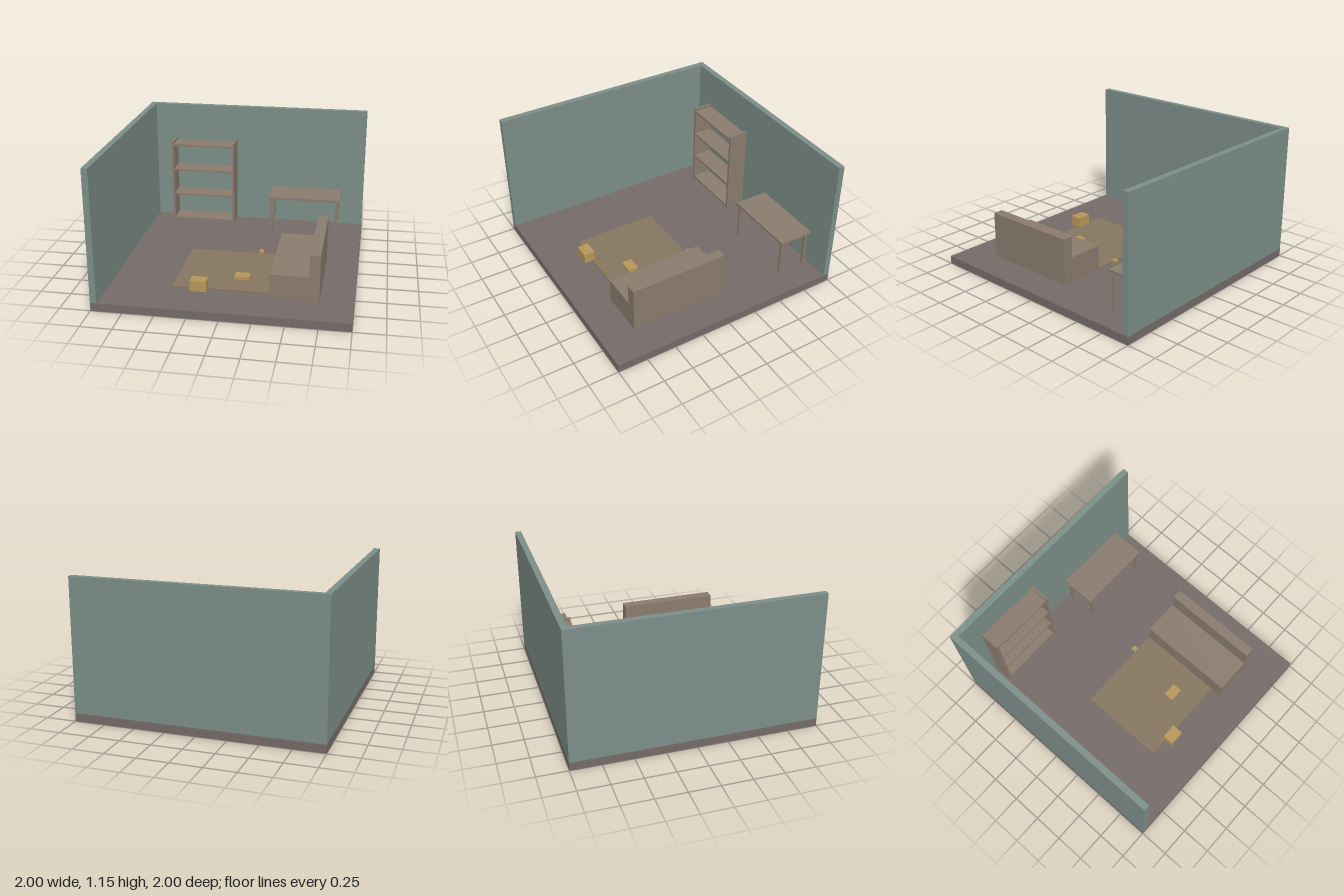
import * as THREE from 'three';

const mat = (color) => new THREE.MeshStandardMaterial({ color });

// Adds a box given by its extents along x, y and z
function box(parent, name, material, [x0, x1], [y0, y1], [z0, z1]) {
  const mesh = new THREE.Mesh(new THREE.BoxGeometry(x1 - x0, y1 - y0, z1 - z0), material);
  mesh.position.set((x0 + x1) / 2, (y0 + y1) / 2, (z0 + z1) / 2);
  mesh.name = name;
  parent.add(mesh);
  return mesh;
}

function group(parent, name) {
  const g = new THREE.Group();
  g.name = name;
  parent.add(g);
  return g;
}

export function createModel() {
  const room = new THREE.Group();
  room.name = 'room';
  const wallMat = mat(0x7d8e89);
  const floorMat = mat(0x756b68);
  const woodMat = mat(0x8a7b6e);
  const rugMat = mat(0x85765f);
  const boxMat = mat(0xb8965a);
  const FLOOR = 0.068;
  const RUG = 0.078;

  // Floor slab and two walls
  box(room, 'floor', floorMat, [-1, 1], [0, FLOOR], [-1, 1]);
  box(room, 'backWall', wallMat, [-1, 1], [FLOOR, 1.155], [-1, -0.95]);
  box(room, 'sideWall', wallMat, [-1, -0.95], [FLOOR, 1.155], [-0.95, 1]);

  // Open bookshelf against the back wall
  const shelf = group(room, 'bookshelf');
  const depth = [-0.95, -0.78];
  box(shelf, 'rightPanel', woodMat, [-0.775, -0.753], [FLOOR, 0.843], depth);
  box(shelf, 'leftPanel', woodMat, [-0.208, -0.187], [FLOOR, 0.843], depth);
  for (let i = 0; i < 4; i++) {
    const y = 0.08 + i * 0.24;
    box(shelf, 'shelfBoard', woodMat, [-0.753, -0.208], [y, y + 0.019], depth);
  }

  // Table with four legs
  const table = group(room, 'table');
  box(table, 'tableTop', woodMat, [0.15, 0.8], [0.385, 0.405], [-0.935, -0.635]);
  for (const x of [[0.167, 0.19], [0.76, 0.783]]) {
    for (const z of [[-0.913, -0.89], [-0.67, -0.647]]) {
      box(table, 'tableLeg', woodMat, x, [FLOOR, 0.385], z);
    }
  }

  // Sofa
  const sofa = group(room, 'sofa');
  box(sofa, 'seat', woodMat, [0.345, 0.652], [FLOOR, 0.28], [-0.11, 0.715]);
  box(sofa, 'backrest', woodMat, [0.652, 0.735], [FLOOR, 0.46], [-0.11, 0.715]);

  // Rug, running under the sofa
  box(room, 'rug', rugMat, [-0.44, 0.62], [FLOOR, RUG], [-0.11, 0.625]);

  // Small boxes lying around the rug
  box(room, 'largeBox', boxMat, [-0.285, -0.155], [RUG, 0.165], [0.603, 0.697]);
  box(room, 'flatBox', boxMat, [0.025, 0.145], [RUG, 0.105], [0.35, 0.435]);
  box(room, 'smallBox', boxMat, [0.15, 0.19], [RUG, 0.098], [-0.153, -0.11]);

  return room;
}
